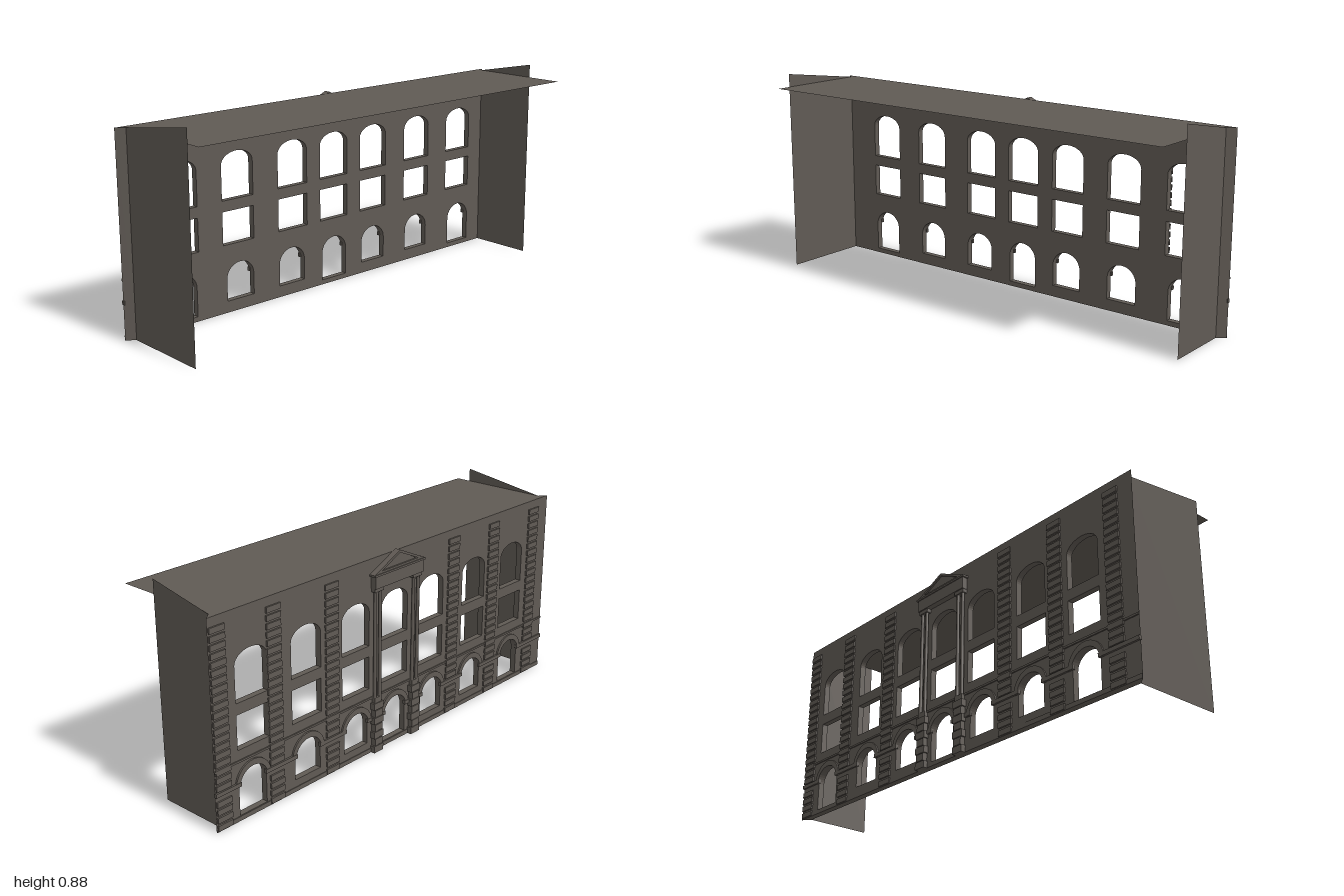
import * as THREE from 'three';

const stone = new THREE.MeshStandardMaterial({ color: 0x605a54, side: THREE.DoubleSide });
stone.name = 'weathered stone';

const OUT = -0.221, IN = -0.195, H = 0.818, EDGE = 0.967, MID = 0.037;

export function createModel() {
  const model = new THREE.Group();
  model.name = 'facadeBuilding';

  const add = (name, geo, parent = model) => {
    const mesh = new THREE.Mesh(geo, stone);
    mesh.name = name;
    parent.add(mesh);
    return mesh;
  };
  const group = (name) => {
    const g = new THREE.Group();
    g.name = name;
    model.add(g);
    return g;
  };
  // Box given by its limits on each axis
  const box = (name, x0, x1, y0, y1, z0, z1, parent) =>
    add(name, new THREE.BoxGeometry(x1 - x0, y1 - y0, z1 - z0), parent)
      .position.set((x0 + x1) / 2, (y0 + y1) / 2, (z0 + z1) / 2);

  // Opening with an elliptical head; rise 0 gives a rectangle
  const opening = (cx, half, y0, spring, rise) => {
    const p = new THREE.Path();
    p.moveTo(cx - half, y0);
    p.lineTo(cx + half, y0);
    p.lineTo(cx + half, spring);
    if (rise) p.absellipse(cx, spring, half, rise, 0, Math.PI, false);
    else p.lineTo(cx - half, spring);
    p.lineTo(cx - half, y0);
    return p;
  };

  // Facade wall with three rows of openings
  const upperX = [-0.745, -0.473, -0.19, MID, 0.265, 0.535, 0.808];
  const groundX = [-0.749, -0.468, -0.198, MID, 0.265, 0.535, 0.818];
  const sillY = [0.02, 0.048, 0.048, 0.02, 0.048, 0.048, 0.02];
  const wall = new THREE.Shape([[-EDGE, 0], [EDGE, 0], [EDGE, H], [-EDGE, H]]
    .map(([x, y]) => new THREE.Vector2(x, y)));
  upperX.forEach((x, i) => {
    wall.holes.push(opening(x, 0.077, 0.465, 0.608, 0.05));
    wall.holes.push(opening(x, 0.077, 0.283, 0.42, 0));
    wall.holes.push(opening(groundX[i], 0.067, sillY[i], 0.14, 0.062));
  });
  const wallGeo = new THREE.ExtrudeGeometry(wall, { depth: IN - OUT, bevelEnabled: false, curveSegments: 10 });
  add('facadeWall', wallGeo.translate(0, 0, OUT));

  // Splayed corners joining the facade to the side walls
  for (const s of [-1, 1]) {
    const tri = new THREE.Shape([
      new THREE.Vector2(s * EDGE, -OUT), new THREE.Vector2(s, -OUT), new THREE.Vector2(s * EDGE, -IN)]);
    const geo = new THREE.ExtrudeGeometry(tri, { depth: H, bevelEnabled: false });
    add(s > 0 ? 'leftCorner' : 'rightCorner', geo.rotateX(-Math.PI / 2));
  }

  // Thin side walls with sloping tops, of unequal length
  const sideWall = (name, x, zEnd) => {
    const shape = new THREE.Shape([[-IN, 0], [-zEnd, 0], [-zEnd, 0.875], [-IN, H]]
      .map(([z, y]) => new THREE.Vector2(z, y)));
    add(name, new THREE.ShapeGeometry(shape).rotateY(Math.PI / 2).translate(x, 0, 0));
  };
  sideWall('leftSideWall', EDGE, 0.09);
  sideWall('rightSideWall', -EDGE, 0.185);

  // Flat roof sheet
  const roof = new THREE.PlaneGeometry(EDGE * 2, 0.25 - OUT).rotateX(-Math.PI / 2);
  add('roof', roof.translate(0, H, (0.25 + OUT) / 2));

  // Rusticated strips of stacked blocks
  const strips = group('rusticatedStrips');
  for (const x of [-0.895, -0.605, -0.33, 0.4, 0.698, 0.96]) {
    for (let k = 0; k < 25; k++) {
      const y = 0.004 + k * 0.0315;
      if (y > 0.12 && y < 0.16) continue;
      box('stripBlock', x - 0.035, x + 0.035, y, y + 0.022, -0.228, OUT, strips);
    }
  }

  // Impost band between the ground arches, slightly entering the openings
  const band = group('impostBand');
  for (let i = 0; i <= groundX.length; i++) {
    const x0 = i === 0 ? -1 : groundX[i - 1] + 0.061;
    const x1 = i === groundX.length ? 1 : groundX[i] - 0.061;
    box('impost', x0, x1, 0.141, 0.157, -0.229, OUT + 0.004, band);
  }
  box('stringCourse', -1, 1, 0.236, 0.244, -0.226, OUT);
  box('plinth', -1, 1, 0, 0.018, -0.224, OUT);

  // Raised mouldings around the ground arches
  const hoods = group('archMouldings');
  for (const x of groundX) {
    const ring = new THREE.Shape();
    ring.absarc(x, 0.14, 0.086, 0, Math.PI, false);
    ring.absellipse(x, 0.14, 0.067, 0.062, Math.PI, 0, true);
    const geo = new THREE.ExtrudeGeometry(ring, { depth: 0.007, bevelEnabled: false, curveSegments: 10 });
    add('archMoulding', geo.translate(0, 0, OUT - 0.007), hoods);
  }

  // Central portico: block pedestals, paired slim columns
  const portico = group('portico');
  for (const s of [-1, 1]) {
    const cx = MID + s * 0.114;
    for (let k = 0; k < 7; k++) {
      const half = k % 2 ? 0.021 : 0.027;
      box('pedestalBlock', cx - half, cx + half, k * 0.0315, k * 0.0315 + 0.0285, -0.242, OUT, portico);
    }
    box('pedestalCore', cx - 0.02, cx + 0.02, 0, 0.24, -0.238, OUT, portico);
    for (const d of [-0.014, 0.014]) {
      const shaft = add('column', new THREE.CylinderGeometry(0.0065, 0.0075, 0.46, 10), portico);
      shaft.position.set(cx + d, 0.47, -0.2315);
    }
    box('capital', cx - 0.026, cx + 0.026, 0.685, 0.702, -0.241, OUT, portico);
  }

  // Entablature, cornice and triangular pediment
  box('entablature', MID - 0.142, MID + 0.142, 0.7, 0.752, -0.246, OUT, portico);
  box('cornice', MID - 0.15, MID + 0.15, 0.75, 0.758, -0.25, OUT, portico);
  const gable = new THREE.Shape([[-0.148, 0.758], [0.148, 0.758], [0, 0.825]]
    .map(([x, y]) => new THREE.Vector2(x + MID, y)));
  gable.holes.push(new THREE.Path([[-0.108, 0.766], [0, 0.814], [0.108, 0.766]]
    .map(([x, y]) => new THREE.Vector2(x + MID, y))));
  const rake = new THREE.ExtrudeGeometry(gable, { depth: 0.025, bevelEnabled: false });
  add('pedimentRake', rake.translate(0, 0, -0.246), portico);
  const panel = new THREE.Shape([[-0.115, 0.76], [0.115, 0.76], [0, 0.82]]
    .map(([x, y]) => new THREE.Vector2(x + MID, y)));
  const infill = new THREE.ExtrudeGeometry(panel, { depth: 0.017, bevelEnabled: false });
  add('pedimentPanel', infill.translate(0, 0, -0.239), portico);

  return model;
}
